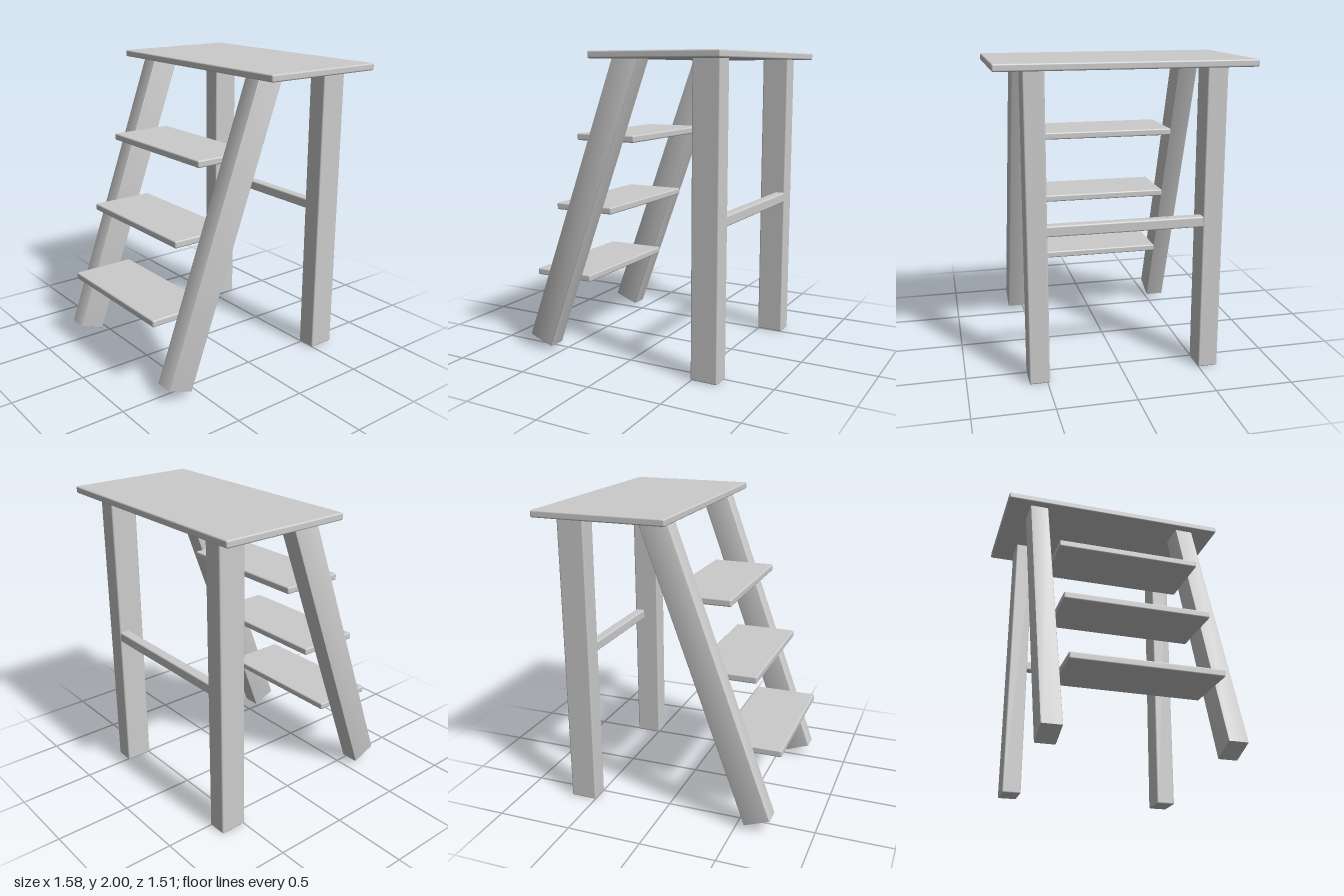
import * as THREE from 'three';
import { RoundedBoxGeometry } from 'three/addons/geometries/RoundedBoxGeometry.js';
import { toCreasedNormals } from 'three/addons/utils/BufferGeometryUtils.js';

const material = new THREE.MeshStandardMaterial({ color: 0xcccccc });

// Softly rounded board given by its [min, max] range on each axis
function board(name, [x0, x1], [y0, y1], [z0, z1], radius = 0.01) {
  const geometry = new RoundedBoxGeometry(x1 - x0, y1 - y0, z1 - z0, 2, radius);
  const mesh = new THREE.Mesh(geometry, material);
  mesh.name = name;
  mesh.position.set((x0 + x1) / 2, (y0 + y1) / 2, (z0 + z1) / 2);
  return mesh;
}

// Leaning leg: side profile (z, y) with a square-cut foot, extruded across x
function leaningLeg(name, [x0, x1]) {
  const bevel = 0.008;
  const profile = new THREE.Shape([
    new THREE.Vector2(0.562, 0.033),
    new THREE.Vector2(0.731, 0.095),
    new THREE.Vector2(0.046, 1.977),
    new THREE.Vector2(-0.146, 1.977),
  ]);
  const geometry = new THREE.ExtrudeGeometry(profile, {
    depth: x1 - x0 - 2 * bevel,
    bevelThickness: bevel,
    bevelSize: bevel,
    bevelOffset: -bevel,
    bevelSegments: 2,
  });
  geometry.rotateY(-Math.PI / 2);
  geometry.translate(x1 - bevel, 0, 0);
  const mesh = new THREE.Mesh(toCreasedNormals(geometry, 0.7), material);
  mesh.name = name;
  return mesh;
}

export function createModel() {
  const group = new THREE.Group();
  group.name = 'stepStool';

  // Platform
  group.add(board('platform', [-0.79, 0.79], [1.955, 2], [-0.755, 0.11]));

  // Legs on both sides
  const sides = { right: [-0.626, -0.497], left: [0.485, 0.614] };
  for (const [side, xRange] of Object.entries(sides)) {
    group.add(leaningLeg(`${side}FrontLeg`, xRange));
    group.add(board(`${side}BackLeg`, xRange, [0.003, 1.975], [-0.675, -0.495]));
  }

  // Treads following the slope of the front legs
  for (let i = 0; i < 3; i++) {
    const y = 0.506 + i * 0.475;
    const z = 0.541 - i * 0.174;
    group.add(board(`tread${i + 1}`, [-0.482, 0.482], [y - 0.023, y + 0.023], [z - 0.215, z + 0.215]));
  }

  // Rail between the back legs
  group.add(board('backRail', [-0.51, 0.5], [0.96, 1.028], [-0.672, -0.604]));

  return group;
}
